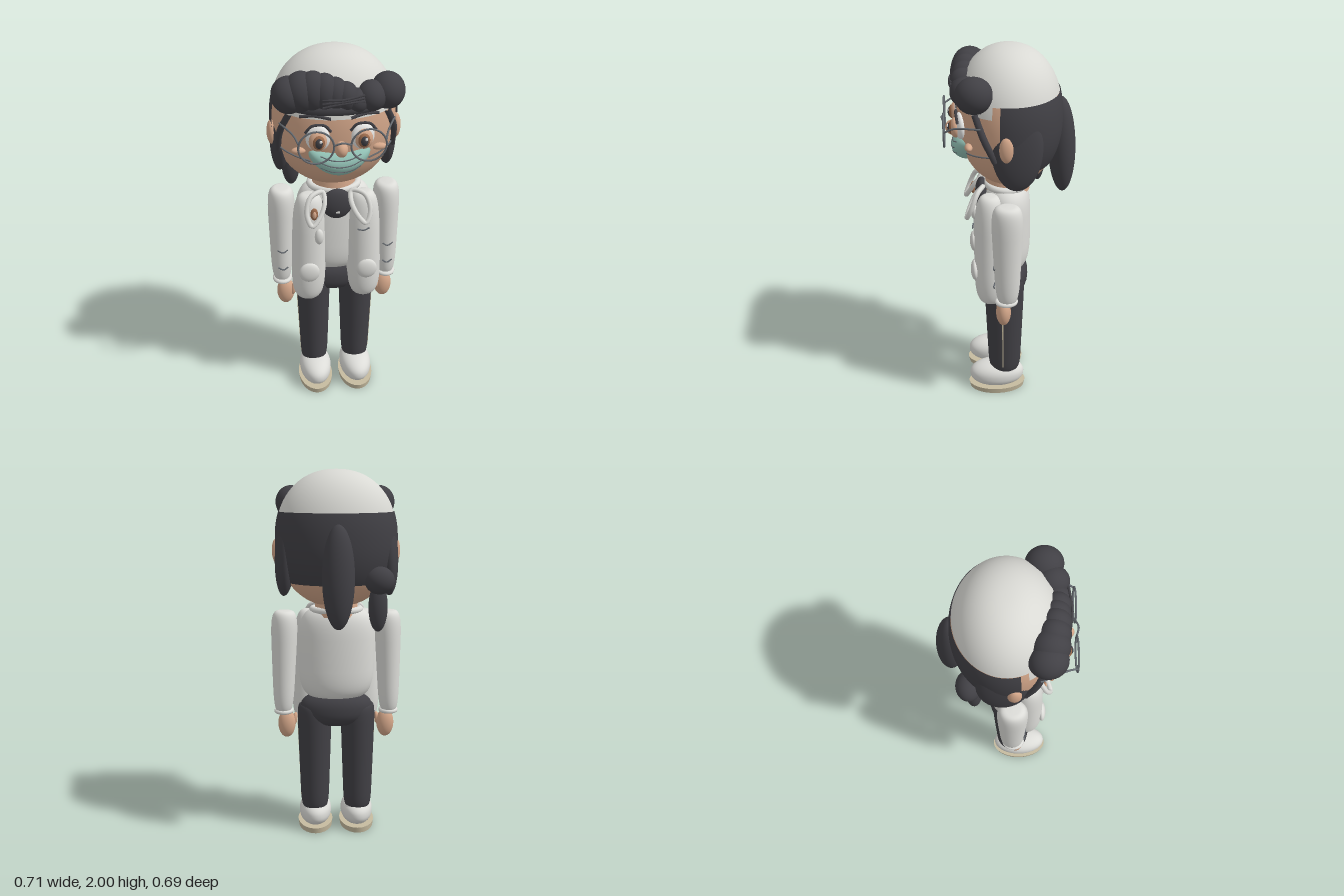
import * as THREE from 'three';

const mat = (name, color) => {
  const m = new THREE.MeshStandardMaterial({ color });
  m.name = name;
  return m;
};

export function createModel() {
  const root = new THREE.Group();
  root.name = 'figure';
  const skin = mat('skin', 0xd4a78a), white = mat('white cloth', 0xdcdcd8), dark = mat('charcoal', 0x414045);
  const teal = mat('mask teal', 0x93c2b6), sole = mat('sole beige', 0xc6bb9f), metal = mat('frame grey', 0x656a70);
  const brown = mat('iris brown', 0x9a6a4c), pale = mat('eye white', 0xeeeeec);
  const capMat = mat('cap white', 0xd9d9d4);
  capMat.side = dark.side = skin.side = THREE.DoubleSide;

  const add = (name, geo, material, pos = [0, 0, 0], rot = [0, 0, 0]) => {
    const m = new THREE.Mesh(geo, material);
    m.name = name;
    m.position.set(...pos);
    m.rotation.set(...rot);
    root.add(m);
    return m;
  };
  // Round shape with a superellipse side profile, swept from angle a0 to a1
  const profile = (p, a0 = -Math.PI / 2, a1 = Math.PI / 2, taper = 0, n = 28) => {
    const pts = [];
    for (let i = 0; i <= n; i++) {
      const a = a0 + (a1 - a0) * i / n, s = Math.sin(a);
      const t = Math.sign(s) * Math.abs(s) ** (2 / p);
      pts.push(new THREE.Vector2(Math.max(Math.cos(a), 0) ** (2 / p) * (1 + taper * t), t));
    }
    return pts;
  };
  const blob = (name, material, r, pos, { p = 2, taper = 0, rot } = {}) =>
    add(name, new THREE.LatheGeometry(profile(p, -Math.PI / 2, Math.PI / 2, taper), 36).scale(...r), material, pos, rot);
  const tube = (name, material, pts, r = 0.006, closed = false) =>
    add(name, new THREE.TubeGeometry(new THREE.CatmullRomCurve3(pts.map(q => new THREE.Vector3(...q)), closed), 40, r, 8, closed), material);
  const both = fn => [-1, 1].forEach(fn);

  // Head, cap and hair share one egg-shaped surface
  const HY = 1.64, HR = [0.315, 0.36, 0.265], HP = 2.2;
  const shell = (name, material, a0, a1, off, phi0 = 0, len = Math.PI * 2) =>
    add(name, new THREE.LatheGeometry(profile(HP, a0, a1), 64, phi0, len).scale(HR[0] + off, HR[1], HR[2] + off), material, [0, HY, 0]);
  const onHead = (y, phi, off = 0.004) => {
    const r = (1 - Math.abs((y - HY) / HR[1]) ** HP) ** (1 / HP);
    return [Math.sin(phi) * (HR[0] * r + off), y, Math.cos(phi) * (HR[2] * r + off)];
  };
  shell('head', skin, -Math.PI / 2, 0.45, 0);
  shell('cap', capMat, 0.36, Math.PI / 2, 0.006);
  shell('capFront', capMat, 0.19, 0.36, 0.006, -1.2, 2.4);
  shell('backHair', dark, -0.64, 0.37, 0.01, 1.35, Math.PI * 2 - 2.7);

  // Rolled fringe of overlapping curls
  [[-0.24, 1.825, 0.18, 0.085, 0.09], [-0.18, 1.84, 0.19, 0.085, 0.1], [-0.125, 1.845, 0.205, 0.075, 0.1],
   [-0.07, 1.84, 0.215, 0.07, 0.095], [-0.02, 1.83, 0.22, 0.065, 0.085], [0.03, 1.82, 0.23, 0.06, 0.075],
   [0.08, 1.8, 0.23, 0.06, 0.06], [0.155, 1.815, 0.215, 0.073, 0.075], [0.24, 1.825, 0.18, 0.084, 0.09]]
    .forEach(([x, y, z, rx, ry]) => blob('fringeCurl', dark, [rx, ry, Math.min(0.1, rx * 1.1)], [x, y, z]));
  tube('fringeBand', dark, [-1, -0.5, 0, 0.5, 1].map(a => onHead(1.765, a, 0.01)), 0.026);
  [0, 1, 2].forEach(i => tube('fringeStrand', dark,
    [[-0.09, 1.79 + i * 0.02, 0.285], [0, 1.81 + i * 0.01, 0.297], [0.11, 1.815 + i * 0.015, 0.285]], 0.006));

  // Back locks
  blob('longBackLock', dark, [0.083, 0.265, 0.072], [0, 1.465, -0.275], { rot: [0.04, 0, 0] });
  blob('smallBun', dark, [0.078, 0.072, 0.065], [-0.215, 1.44, -0.19]);
  blob('smallBackLock', dark, [0.05, 0.13, 0.04], [-0.21, 1.3, -0.17]);

  // Paired face parts
  both(s => {
    blob('sideLock', dark, [0.057, 0.225, 0.128], [s * 0.268, 1.565, -0.025], { rot: [0, 0, s * 0.06] });
    tube('templeStrand', dark, [onHead(1.73, s * 0.85, 0.01), onHead(1.62, s * 1.05, 0.012), onHead(1.5, s * 1.25, 0.01)], 0.017);
    blob('ear', skin, [0.025, 0.066, 0.035], [s * 0.318, 1.575, 0.03]);
    blob('cheek', skin, [0.036, 0.018, 0.02], [s * 0.2, 1.545, 0.21]);
    blob('eyeWhite', pale, [0.06, 0.068, 0.028], [s * 0.11, 1.625, 0.25], { rot: [0, s * 0.2, 0] });
    blob('iris', skin, [0.044, 0.052, 0.028], [s * 0.112, 1.618, 0.272]);
    blob('innerIris', brown, [0.03, 0.037, 0.02], [s * 0.11, 1.618, 0.288]);
    blob('pupil', dark, [0.02, 0.027, 0.016], [s * 0.11, 1.618, 0.297]);
    blob('eyeGlint', pale, [0.007, 0.008, 0.004], [s * 0.11 + 0.008, 1.63, 0.311]);
    tube('upperLid', dark, [-0.062, -0.03, 0.03, 0.062].map((x, i) => [s * 0.11 + x, i % 3 ? 1.695 : 1.66, i % 3 ? 0.268 : 0.262]), 0.007);
    tube('eyebrow', dark, [0.15, 0.4, 0.65].map((a, i) => onHead(1.725 + (i === 1 ? 0.012 : 0), s * a, 0.008)), 0.008);
    // Glasses
    add('lensRim', new THREE.TorusGeometry(0.084, 0.005, 8, 40).scale(1.02, 0.98, 1), metal, [s * 0.127, 1.61, 0.33]);
    tube('glassesArm', metal, [[s * 0.21, 1.63, 0.328], [s * 0.228, 1.655, 0.28], [s * 0.285, 1.67, 0.15]], 0.005);
    tube('maskStrap', metal, [0.5, 0.75, 1, 1.25, 1.45].map((a, i) => onHead(1.49 + i * 0.012, s * a, 0.005)), 0.004);
  });
  tube('glassesBridge', metal, [[-0.045, 1.615, 0.33], [0, 1.632, 0.342], [0.045, 1.615, 0.33]], 0.005);
  blob('nose', skin, [0.032, 0.04, 0.04], [0, 1.575, 0.286]);

  // Face mask, bent upward toward its corners
  const maskGeo = new THREE.SphereGeometry(1, 40, 24).scale(0.155, 0.072, 0.085);
  const mp = maskGeo.attributes.position;
  for (let i = 0; i < mp.count; i++) mp.setY(i, mp.getY(i) + 2.2 * mp.getX(i) ** 2);
  maskGeo.computeVertexNormals();
  add('mask', maskGeo, teal, [0, 1.482, 0.212]);
  [-0.03, 0, 0.03].forEach(dy => tube('maskPleat', metal, [-0.1, -0.05, 0, 0.05, 0.1].map(x =>
    [x, 1.482 + dy + 2.2 * x * x, 0.212 + 0.085 * Math.sqrt(1 - (x / 0.155) ** 2 - (dy / 0.072) ** 2)]), 0.003));

  // Torso and coat
  add('neck', new THREE.CylinderGeometry(0.11, 0.12, 0.1, 32), skin, [0, 1.28, 0.01]);
  blob('torso', white, [0.205, 0.257, 0.13], [0, 1.02, 0.015], { p: 4 });
  add('collar', new THREE.TorusGeometry(0.115, 0.018, 12, 40).scale(1.1, 0.9, 1), white, [0, 1.262, 0.015], [Math.PI / 2, 0, 0]);
  blob('neckBadge', dark, [0.08, 0.085, 0.035], [0, 1.2, 0.145]);
  add('badgeTag', new THREE.BoxGeometry(0.022, 0.008, 0.006), white, [0, 1.165, 0.178]);
  blob('pin', brown, [0.02, 0.035, 0.012], [-0.125, 1.17, 0.19]);
  blob('pinCentre', skin, [0.01, 0.02, 0.008], [-0.125, 1.17, 0.2]);
  blob('coatButton', white, [0.024, 0.045, 0.02], [-0.1, 1.03, 0.185]);
  tube('chestPocketSeam', metal, [[0.1, 1.065, 0.195], [0.135, 1.06, 0.199], [0.165, 1.07, 0.195]], 0.004);
  blob('hips', dark, [0.2, 0.1, 0.115], [0, 0.71, 0.012], { p: 2.4 });

  both(s => {
    blob('coatPanel', white, [0.09, 0.32, 0.085], [s * 0.148, 0.93, 0.107], { p: 4, taper: -0.06, rot: [0, 0, s * 0.02] });
    blob('coatPocket', white, [0.055, 0.058, 0.022], [s * 0.155, 0.815, 0.192]);
    tube('coatLoop', white, [[s * 0.075, 1.27, 0.14], [s * 0.14, 1.26, 0.17], [s * 0.165, 1.18, 0.205],
      [s * 0.14, 1.12, 0.228], [s * 0.105, 1.15, 0.215], [s * 0.07, 1.22, 0.18]], 0.013, true);
    // Arms
    blob('arm', white, [0.065, 0.287, 0.074], [s * 0.286, 0.967, 0.024], { p: 5, taper: 0.18, rot: [0, 0, s * 0.02] });
    add('cuff', new THREE.TorusGeometry(0.042, 0.012, 10, 32).scale(1, 1.15, 1), white, [s * 0.29, 0.69, 0.03], [Math.PI / 2, 0, 0]);
    blob('hand', skin, [0.048, 0.08, 0.04], [s * 0.275, 0.612, 0.045]);
    blob('thumb', skin, [0.016, 0.04, 0.02], [s * 0.232, 0.63, 0.06], { rot: [0, 0, s * 0.2] });
    [0.78, 0.89].forEach(y => tube('sleeveCrease', metal,
      [[s * 0.26, y + 0.012, 0.088], [s * 0.285, y, 0.096], [s * 0.315, y + 0.012, 0.088]], 0.004));
    // Legs and shoes
    blob('leg', dark, [0.087, 0.31, 0.1], [s * 0.12, 0.43, 0.032], { p: 9, taper: 0.12 });
    add('legStripe', new THREE.BoxGeometry(0.008, 0.45, 0.008), sole, [s * 0.203, 0.4, 0.045], [0, 0, -s * 0.038]);
    blob('shoe', white, [0.09, 0.075, 0.155], [s * 0.118, 0.09, 0.077], { p: 2.3 });
    blob('ankle', white, [0.075, 0.06, 0.08], [s * 0.118, 0.11, 0.025]);
    add('shoeSole', new THREE.CylinderGeometry(1, 0.96, 0.032, 40).scale(0.098, 1, 0.162), sole, [s * 0.118, 0.016, 0.077]);
  });
  return root;
}
